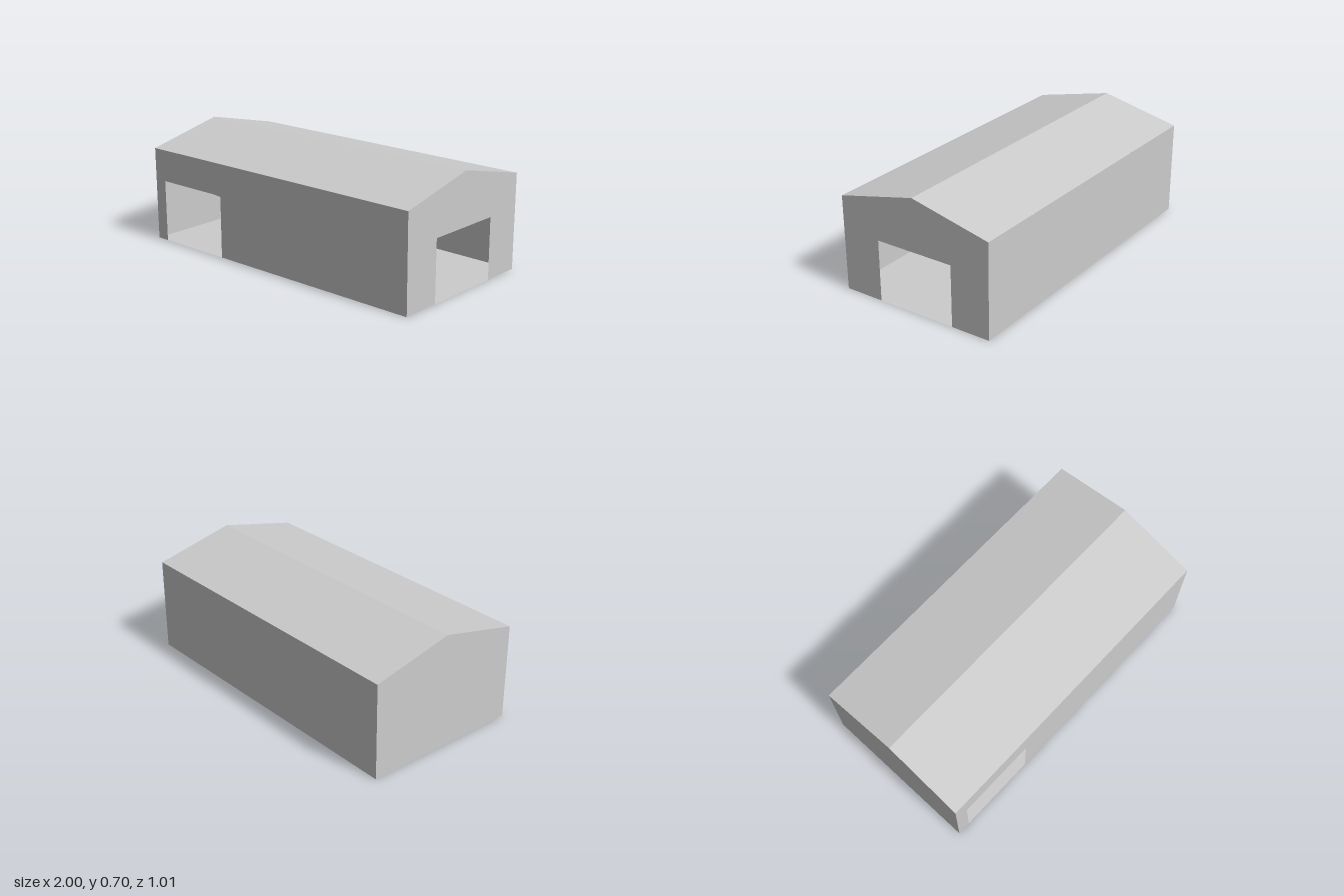
import * as THREE from 'three';

const BASE = 0.5, EAVE_Z = 0.504, EAVE_Y = 0.587, RIDGE_Y = 0.703;

export function createModel() {
  const group = new THREE.Group();
  const grey = new THREE.MeshStandardMaterial({ color: 0xcccccc, side: THREE.DoubleSide });
  grey.name = 'plain grey';

  const outline = (points) =>
    new THREE.ShapeGeometry(new THREE.Shape(points.map(([x, y]) => new THREE.Vector2(x, y))));
  const add = (name, geometry) => {
    const mesh = new THREE.Mesh(geometry, grey);
    mesh.name = name;
    group.add(mesh);
    return mesh;
  };

  // Long walls lean out very slightly towards the eaves
  const lean = Math.atan2(EAVE_Z - BASE, EAVE_Y);
  const frontDoor = [[-0.918, 0], [-0.918, 0.388], [-0.476, 0.388], [-0.417, 0.383], [-0.42, 0]];
  const front = add('frontWall',
    outline([[-1, 0], ...frontDoor, [1, 0], [1, EAVE_Y], [-1, EAVE_Y]]).rotateX(lean));
  front.position.z = BASE;

  const back = add('backWall',
    outline([[-1, 0], [1, 0], [1, EAVE_Y], [-1, EAVE_Y]]).rotateX(lean).rotateY(Math.PI));
  back.position.z = -BASE;

  // Gable ends: the +x end has a wide doorway, the other is closed
  const gableTop = [[BASE, 0], [EAVE_Z, EAVE_Y], [0, RIDGE_Y], [-EAVE_Z, EAVE_Y]];
  const gableDoor = [[-0.252, 0], [-0.252, 0.378], [0.252, 0.378], [0.252, 0]];
  add('doorGable', outline([[-BASE, 0], ...gableDoor, ...gableTop]).rotateY(Math.PI / 2)).position.x = 1;
  add('closedGable', outline([[-BASE, 0], ...gableTop]).rotateY(-Math.PI / 2)).position.x = -1;

  // Two roof slopes meeting at the ridge
  const rise = RIDGE_Y - EAVE_Y;
  const pitch = Math.atan2(rise, EAVE_Z);
  for (const side of [1, -1]) {
    const slope = new THREE.PlaneGeometry(2, Math.hypot(rise, EAVE_Z))
      .rotateX(-Math.PI / 2 + side * pitch);
    add(side > 0 ? 'frontRoof' : 'backRoof', slope)
      .position.set(0, (EAVE_Y + RIDGE_Y) / 2, side * EAVE_Z / 2);
  }

  // Floor slab
  add('floor', new THREE.PlaneGeometry(2, 2 * BASE).rotateX(-Math.PI / 2));

  return group;
}
